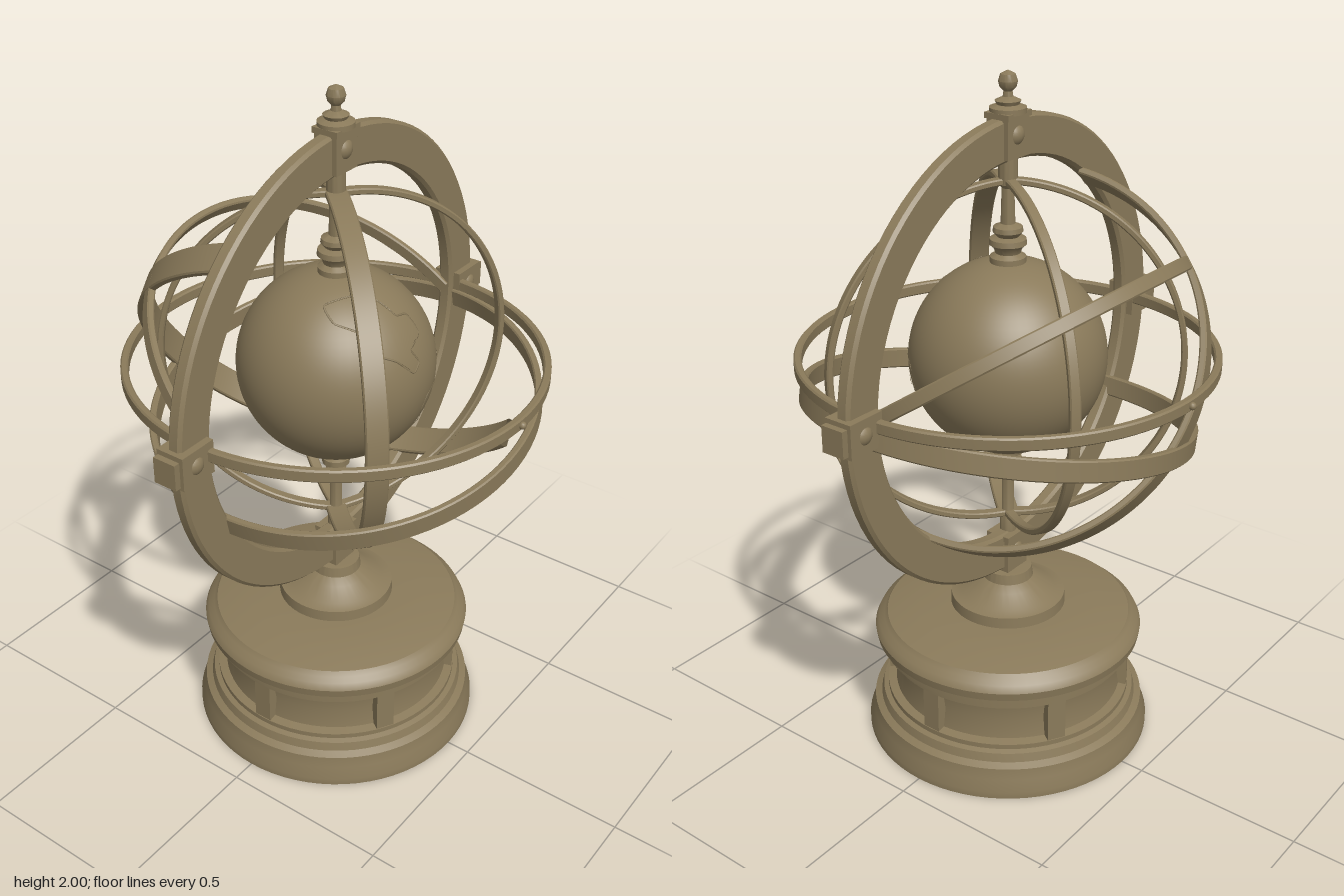
import * as THREE from 'three';
import { toCreasedNormals } from 'three/addons/utils/BufferGeometryUtils.js';

const bronze = new THREE.MeshStandardMaterial({ color: 0x8a7a5a, side: THREE.DoubleSide });
bronze.name = 'bronze';
const CY = 1.21; // height of the globe's centre

function add(parent, name, geometry, x = 0, y = 0, z = 0) {
  const mesh = new THREE.Mesh(geometry, bronze);
  mesh.name = name;
  mesh.position.set(x, y, z);
  parent.add(mesh);
  return mesh;
}

function lathe(points, segments = 64, start = 0, length = Math.PI * 2) {
  const g = new THREE.LatheGeometry(points.map(p => new THREE.Vector2(p[0], p[1])), segments, start, length);
  return toCreasedNormals(g, 0.6);
}

// Hoop or arc: radii, width along its axis, axis, direction of the arc's middle, degrees covered
function hoop(parent, name, inner, outer, width, axis, middle = [1, 0.01, 0.02], degrees = 360) {
  const h = width / 2, c = Math.min(width, outer - inner) * 0.2;
  const sweep = THREE.MathUtils.degToRad(degrees);
  const g = lathe([[inner, -h + c], [inner + c, -h], [outer - c, -h], [outer, -h + c],
    [outer, h - c], [outer - c, h], [inner + c, h], [inner, h - c], [inner, -h + c]],
    96, (Math.PI - sweep) / 2, sweep);
  const mesh = add(parent, name, g, 0, CY, 0);
  const n = new THREE.Vector3(...axis).normalize();
  const side = new THREE.Vector3(...middle).cross(n).normalize();
  const mid = n.clone().cross(side);
  mesh.quaternion.setFromRotationMatrix(new THREE.Matrix4().makeBasis(mid, n, side));
  return mesh;
}

function buildBase(root) {
  const base = new THREE.Group();
  base.name = 'base';
  root.add(base);
  // thin hollow shell, from the foot to the neck
  add(base, 'plinth', lathe([
    [0.43, 0], [0.43, 0.02], [0.417, 0.055], [0.412, 0.09], [0.392, 0.1], [0.385, 0.125], [0.37, 0.13],
    [0.37, 0.145], [0.345, 0.15], [0.336, 0.21], [0.345, 0.268], [0.37, 0.273],
    [0.37, 0.29], [0.385, 0.295], [0.385, 0.315], [0.398, 0.32], [0.402, 0.345], [0.392, 0.365],
    [0.375, 0.375], [0.365, 0.388], [0.27, 0.408], [0.172, 0.412],
    [0.17, 0.445], [0.14, 0.453], [0.1, 0.485], [0.075, 0.5], [0.07, 0.53], [0, 0.535]], 72));
  // posts between the recessed panels
  for (let i = 0; i < 6; i++) {
    const a = Math.PI / 6 + i * Math.PI / 3;
    const post = add(base, 'panelPost', new THREE.BoxGeometry(0.055, 0.14, 0.045),
      Math.sin(a) * 0.345, 0.21, Math.cos(a) * 0.345);
    post.rotation.y = a;
  }
}

function buildFrame(root) {
  const frame = new THREE.Group();
  frame.name = 'frame';
  root.add(frame);
  hoop(frame, 'outerMeridian', 0.555, 0.672, 0.044, [0, 0, 1]);
  hoop(frame, 'horizonRing', 0.572, 0.594, 0.036, [0, 1, 0]).position.y = 1.218;
  // clamps at the top and bottom
  for (const y of [1.835, 0.592]) {
    add(frame, 'clamp', new THREE.BoxGeometry(0.092, 0.12, 0.07), 0, y, 0);
    add(frame, 'clampLip', new THREE.BoxGeometry(0.1, 0.016, 0.08), 0, y + 0.052, 0);
    for (const s of [-1, 1])
      add(frame, 'clampBoss', new THREE.SphereGeometry(0.034, 20, 14), 0, y, s * 0.012);
  }
  // clamps and end caps at both sides, studs front and back
  for (const s of [-1, 1]) {
    add(frame, 'sideClamp', new THREE.BoxGeometry(0.115, 0.096, 0.085), s * 0.627, CY, 0);
    add(frame, 'sideNeck', new THREE.CylinderGeometry(0.028, 0.028, 0.02, 16).rotateZ(Math.PI / 2), s * 0.688, CY, 0);
    add(frame, 'sideCap', new THREE.BoxGeometry(0.018, 0.074, 0.07), s * 0.697, CY, 0);
    for (const f of [-1, 1])
      add(frame, 'sideBoss', new THREE.SphereGeometry(0.034, 20, 14), s * 0.63, CY, f * 0.018);
    add(frame, 'horizonStud', new THREE.SphereGeometry(0.011, 10, 8), 0, 1.218, s * 0.597);
  }
  // finial
  add(frame, 'finial', lathe([[0, 1.89], [0.05, 1.89], [0.05, 1.905], [0.03, 1.912], [0.035, 1.922],
    [0.014, 1.932], [0.012, 1.946], [0.022, 1.956], [0.026, 1.972], [0.02, 1.99], [0, 2]], 24));
}

function buildRings(root) {
  const rings = new THREE.Group();
  rings.name = 'innerRings';
  root.add(rings);
  // half meridians from pole to pole: end point in x and z, band width
  for (const [x, z, width] of [[0.28, -0.43, 0.03], [-0.38, 0.41, 0.06], [0.46, 0.26, 0.03], [-0.27, -0.42, 0.03]]) {
    const arc = hoop(rings, 'halfMeridian', 0.49, 0.508, width, [-z, 0, x], [x, 0, z], 180);
    arc.scale.x = Math.hypot(x, z) / 0.508;
  }
  // wide band tilted sideways, set a little below the centre
  hoop(rings, 'lowBand', 0.54, 0.56, 0.06, [-0.21, 0.98, 0]).position.set(0.04, 1.06, 0);
  // arc rising behind the globe from the side clamps
  hoop(rings, 'backArc', 0.545, 0.565, 0.04, [0, 0.82, 0.57], [0, 0.57, -0.82], 180);
  // steep wide band, open in front of the globe
  hoop(rings, 'steepBand', 0.545, 0.565, 0.085, [0.76, 0.59, -0.22], [0.066, -0.25, -0.55], 225);
}

function buildGlobe(root) {
  const globe = new THREE.Group();
  globe.name = 'globeAssembly';
  root.add(globe);
  const R = 0.279;
  add(globe, 'globe', new THREE.SphereGeometry(R, 64, 40), 0, CY, 0);
  // spindle above and below the globe
  add(globe, 'upperSpindle', lathe([[0.05, 1.48], [0.05, 1.5], [0.035, 1.51], [0.04, 1.525], [0.052, 1.535],
    [0.05, 1.55], [0.03, 1.556], [0.042, 1.57], [0.04, 1.583], [0.02, 1.592], [0.017, 1.69],
    [0.026, 1.7], [0.026, 1.78]], 28));
  add(globe, 'lowerSpindle', lathe([[0.024, 0.64], [0.024, 0.7], [0.018, 0.72], [0.018, 0.84], [0.03, 0.85],
    [0.024, 0.862], [0.04, 0.872], [0.04, 0.89], [0.024, 0.897], [0.045, 0.91], [0.05, 0.94]], 28));
  // raised coastlines, laid on the globe's front or right side
  const coasts = [
    [0, [[-0.13, 0.24], [-0.15, 0.21], [-0.11, 0.18], [-0.12, 0.14], [-0.07, 0.11], [-0.02, 0.06],
      [0.01, 0.08], [-0.01, 0.12], [0.05, 0.14], [0.04, 0.19], [0.0, 0.2], [-0.03, 0.25]]],
    [0, [[0.03, -0.08], [0.05, -0.04], [0.11, -0.03], [0.17, -0.07], [0.13, -0.1], [0.11, -0.15],
      [0.07, -0.2], [0.06, -0.14]]],
    [Math.PI / 2, [[-0.22, 0.02], [-0.19, -0.06], [-0.13, -0.09], [-0.16, 0.0]]],
  ];
  for (const [turn, outline] of coasts) {
    const pts = outline.map(([x, y]) =>
      new THREE.Vector3(x, y, Math.sqrt(Math.max(0, R * R - x * x - y * y))));
    const curve = new THREE.CatmullRomCurve3(pts, true, 'catmullrom', 0.2);
    const line = add(globe, 'coastline', new THREE.TubeGeometry(curve, 90, 0.003, 5, true), 0, CY, 0);
    // keep the line on the surface between its points
    const p = line.geometry.attributes.position, v = new THREE.Vector3();
    for (let i = 0; i < p.count; i++) {
      v.fromBufferAttribute(p, i);
      v.setLength(Math.max(v.length(), R + 0.0015));
      p.setXYZ(i, v.x, v.y, v.z);
    }
    line.rotation.y = turn;
  }
}

export function createModel() {
  const root = new THREE.Group();
  root.name = 'armillarySphere';
  buildBase(root);
  buildFrame(root);
  buildRings(root);
  buildGlobe(root);
  return root;
}
